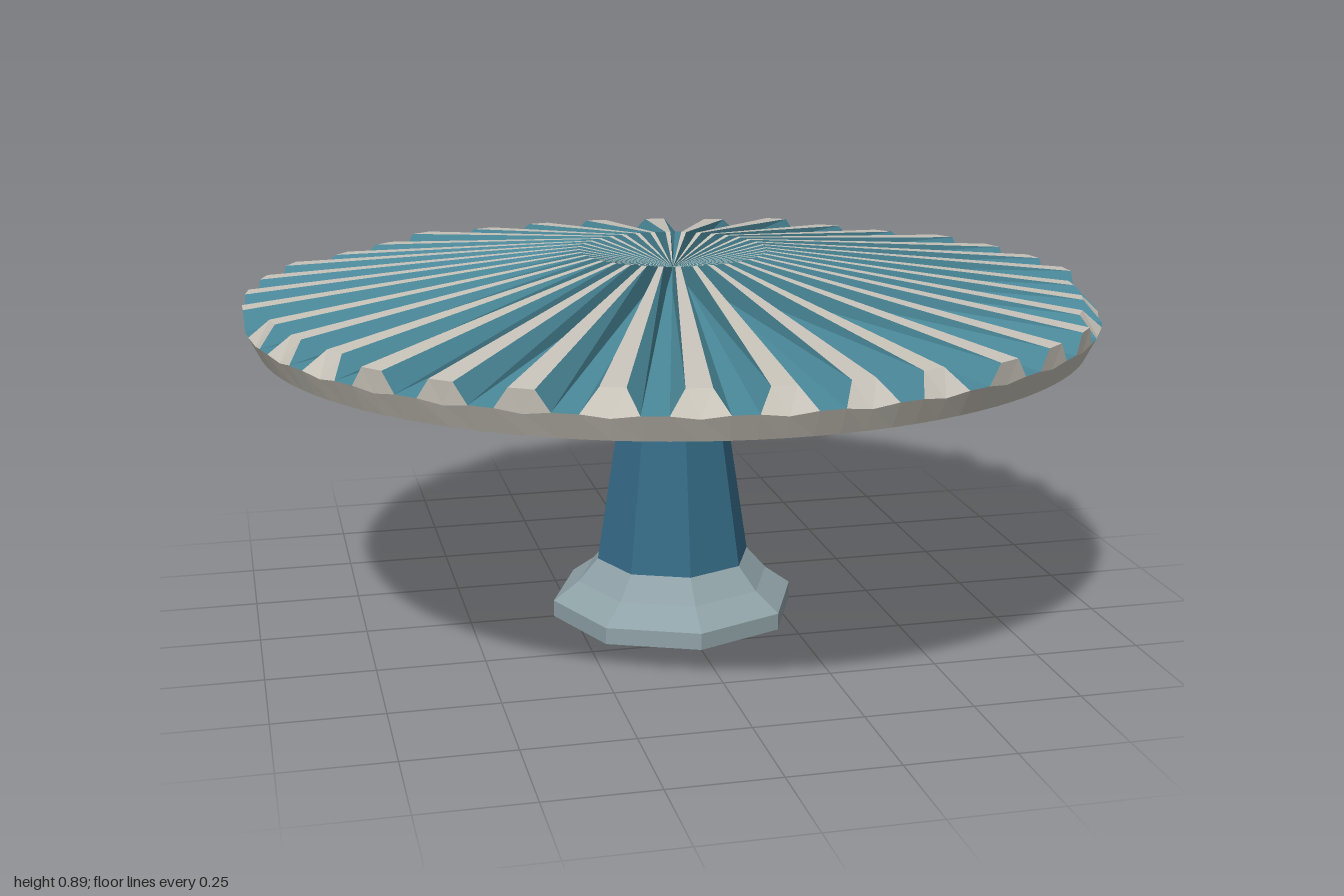
import * as THREE from 'three';

const RIDGES = 36;
const STEP = 360 / RIDGES;
// Ridges (degrees from the front, mirrored in x) whose outer ends slope back
const SLOPED = [0, 10, 20, 60, 70, 80, 130, 140, 160, 170, 180];

const point = (r, y, deg) => {
  const a = THREE.MathUtils.degToRad(deg);
  return [r * Math.sin(a), y, r * Math.cos(a)];
};

// Joins two edges that run from the inside outwards, a lying before b in angle
function strip(out, a, b) {
  for (let i = 0; i < a.length - 1; i++) {
    out.push(...a[i], ...a[i + 1], ...b[i + 1]);
    if (a[i] !== b[i]) out.push(...a[i], ...b[i + 1], ...b[i]);
  }
}

function facetMesh(name, positions, material) {
  const g = new THREE.BufferGeometry();
  g.setAttribute('position', new THREE.Float32BufferAttribute(positions, 3));
  g.computeVertexNormals();
  const mesh = new THREE.Mesh(g, material);
  mesh.name = name;
  return mesh;
}

// Turned part with flat facets; the profile runs from bottom to top
function turned(name, profile, sides, material) {
  const g = new THREE.LatheGeometry(profile.map(([r, y]) => new THREE.Vector2(r, y)), sides).toNonIndexed();
  g.computeVertexNormals();
  const mesh = new THREE.Mesh(g, material);
  mesh.name = name;
  return mesh;
}

export function createModel() {
  const mat = (name, color) => {
    const m = new THREE.MeshStandardMaterial({ color });
    m.name = name;
    return m;
  };
  const cream = mat('cream', 0xc8c3b9);
  const teal = mat('teal', 0x4a8899);
  const blue = mat('deep blue', 0x356b87);
  const grey = mat('blue grey', 0x8fa2a7);

  const model = new THREE.Group();
  model.name = 'pleatedTable';

  // Pleated top: flat-topped ridges and grooves radiating from a sunken centre
  const crests = [], grooves = [], rim = [];
  const centre = [0, 0.85, 0];
  const topHalf = 1.6, foot = 3.4;
  const floorEdge = (deg) => [centre, point(0.22, 0.845, deg), point(0.997, 0.758, deg)];
  const bottom = (deg) => point(0.968, 0.7, deg);

  for (let k = 0; k < RIDGES; k++) {
    const t = k * STEP;
    const sloped = SLOPED.includes(Math.round(Math.min(t, 360 - t)));
    const endR = sloped ? 0.953 : 0.998;
    const crestEdge = (deg) => [centre, point(0.22, 0.895, deg), point(endR, 0.802, deg)];

    const topL = crestEdge(t - topHalf), topR = crestEdge(t + topHalf);
    const footL = floorEdge(t - foot), footR = floorEdge(t + foot);
    const next = floorEdge(t + STEP - foot);
    strip(crests, topL, topR);
    strip(grooves, footL, topL);
    strip(grooves, topR, footR);
    strip(grooves, footR, next);

    // Faceted end of the ridge
    const mid = point(0.992, 0.75, t);
    const [eL, eR, fL, fR, fN] = [topL, topR, footL, footR, next].map((e) => e[2]);
    rim.push(...eL, ...mid, ...eR, ...eL, ...fL, ...mid, ...eR, ...mid, ...fR);

    // Lower band of the rim
    const bL = bottom(t - foot), bM = bottom(t), bR = bottom(t + foot), bN = bottom(t + STEP - foot);
    strip(rim, [fL, bL], [mid, bM]);
    strip(rim, [mid, bM], [fR, bR]);
    strip(rim, [fR, bR], [fN, bN]);
  }
  model.add(facetMesh('ridgeCrests', crests, cream));
  model.add(facetMesh('grooves', grooves, teal));
  model.add(facetMesh('rim', rim, cream));

  // Shallow cone under the top
  model.add(turned('underside', [[0, 0.645], [0.2, 0.655], [0.968, 0.7]], 72, teal));

  // Eight-sided stem with a flared collar
  model.add(turned('stem', [[0.187, 0.14], [0.12, 0.575]], 8, blue));
  model.add(turned('collar', [[0.12, 0.575], [0.225, 0.66]], 8, blue));

  // Stepped foot, closed below
  model.add(turned('base', [[0, 0], [0.297, 0], [0.297, 0.04], [0.235, 0.085], [0.187, 0.14]], 8, grey));

  return model;
}
